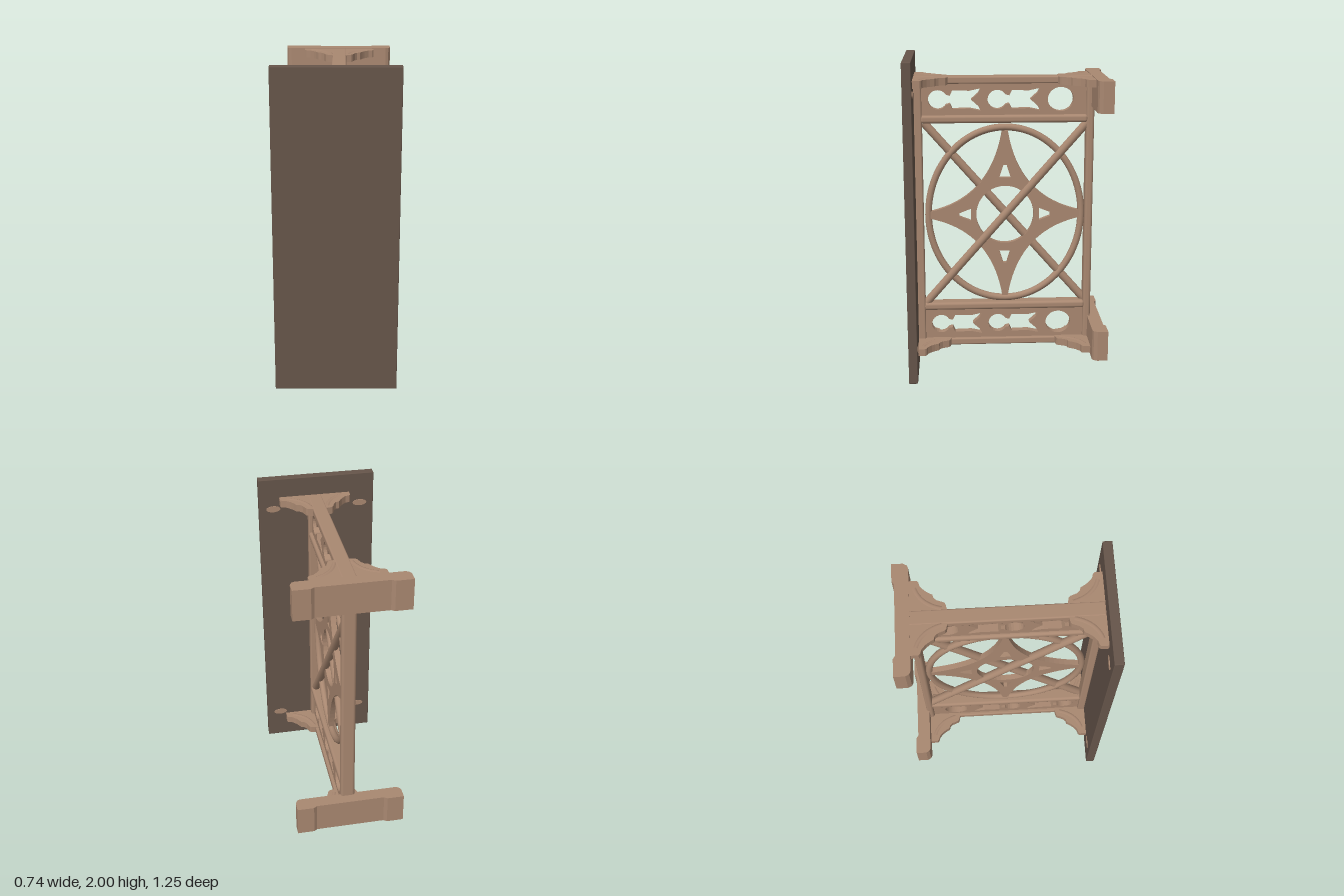
import * as THREE from 'three';
import { RoundedBoxGeometry } from 'three/addons/geometries/RoundedBoxGeometry.js';

export function createModel() {
  const model = new THREE.Group();
  const wood = new THREE.MeshStandardMaterial({ color: 0xa98871 });
  wood.name = 'lightWood';
  const darkWood = new THREE.MeshStandardMaterial({ color: 0x66554a });
  darkWood.name = 'darkWood';
  const CX = 0.015; // middle of the frame

  const add = (name, geometry, material = wood) => {
    const mesh = new THREE.Mesh(geometry, material);
    mesh.name = name;
    model.add(mesh);
    return mesh;
  };
  // Box given by its limits on each axis
  const block = (name, [x0, x1], [y0, y1], [z0, z1], material = wood, r = 0.01) => {
    const g = new RoundedBoxGeometry(x1 - x0, y1 - y0, z1 - z0, 2, r);
    add(name, g, material).position.set((x0 + x1) / 2, (y0 + y1) / 2, (z0 + z1) / 2);
  };
  // Shape drawn in (z, y), extruded along x around the frame's middle
  const sidePlate = (name, shape, depth) => {
    const g = new THREE.ExtrudeGeometry(shape, { depth, bevelEnabled: false, curveSegments: 20 });
    g.translate(0, 0, -depth / 2).rotateY(-Math.PI / 2);
    add(name, g).position.x = CX;
  };
  // Shape drawn in (x, z), extruded along y between two heights
  const levelPlate = (name, points, y0, y1) => {
    const g = new THREE.ExtrudeGeometry(new THREE.Shape(points), { depth: y1 - y0, bevelEnabled: false });
    g.rotateX(Math.PI / 2);
    add(name, g).position.y = y1;
  };
  const vec = ([x, y]) => new THREE.Vector2(x, y);

  // Slab
  block('tableTop', [-0.37, 0.37], [0, 2], [0.567, 0.623], darkWood, 0.004);

  // Frame posts and rails
  const wide = [-0.03, 0.06];
  block('frontPost', wide, [0.13, 1.88], [0.52, 0.57]);
  block('backPost', wide, [0.13, 1.88], [-0.55, -0.5], wood, 0.018);
  for (const [y0, y1] of [[1.835, 1.88], [0.13, 0.175]]) block('outerRail', wide, [y0, y1], [-0.55, 0.57]);
  for (const [y0, y1] of [[1.59, 1.64], [0.37, 0.42]]) block('innerRail', wide, [y0, y1], [-0.51, 0.53], wood, 0.018);

  // Pierced panels: two keyhole cuts with arrow tails, and one round cut
  const keyhole = (u, v) => {
    const pts = [];
    for (let i = 0; i <= 20; i++) {
      const a = -Math.PI + 0.55 + (i / 20) * (2 * Math.PI - 1.1);
      pts.push([u + 0.06 * Math.cos(a), v + 0.06 * Math.sin(a)]);
    }
    const tail = [[-0.075, 0.025], [-0.09, 0.058], [-0.195, 0.055], [-0.265, 0.07], [-0.25, 0.04]];
    tail.forEach(([a, b]) => pts.push([u + a, v + b]));
    pts.push([u - 0.205, v]);
    tail.reverse().forEach(([a, b]) => pts.push([u + a, v - b]));
    return new THREE.Path(pts.map(vec));
  };
  for (const y of [1.735, 0.272]) {
    const panel = new THREE.Shape([[-0.51, y - 0.1], [0.53, y - 0.1], [0.53, y + 0.1], [-0.51, y + 0.1]].map(vec));
    panel.holes.push(keyhole(0.42, y), keyhole(0.053, y));
    panel.holes.push(new THREE.Path().absellipse(-0.34, y, 0.08, 0.075, 0, Math.PI * 2));
    sidePlate('piercedPanel', panel, 0.05);
  }

  // Oval hoop
  const oval = [];
  for (let i = 0; i < 32; i++) {
    const a = (i / 32) * Math.PI * 2;
    oval.push(new THREE.Vector3(CX, 1 + 0.56 * Math.sin(a), 0.005 + 0.485 * Math.cos(a)));
  }
  add('ovalHoop', new THREE.TubeGeometry(new THREE.CatmullRomCurve3(oval, true), 96, 0.022, 10, true));

  // Crossed braces
  for (const s of [-1, 1]) {
    const x = CX + s * 0.012;
    const line = new THREE.LineCurve3(new THREE.Vector3(x, 1.59, -0.51 * s), new THREE.Vector3(x, 0.42, 0.51 * s));
    add('crossBrace', new THREE.TubeGeometry(line, 1, 0.026, 12, false));
  }

  // Four-pointed star with a round opening and a triangle in each point
  const star = new THREE.Shape();
  const turn = (k, x, y) => {
    const c = Math.round(Math.cos(k * Math.PI / 2)), s = Math.round(Math.sin(k * Math.PI / 2));
    const [u, v] = [x * c - y * s, x * s + y * c];
    return [u * 0.9 + 0.005, v + 1];
  };
  star.moveTo(...turn(0, 0.54, -0.02));
  for (let k = 0; k < 4; k++) {
    star.lineTo(...turn(k, 0.54, 0.02));
    star.quadraticCurveTo(...turn(k, 0.1, 0.1), ...turn(k, 0.02, 0.54));
    star.holes.push(new THREE.Path([[0.24, -0.04], [0.32, -0.012], [0.32, 0.012], [0.24, 0.04]].map((p) => vec(turn(k, ...p)))));
  }
  star.holes.push(new THREE.Path().absellipse(0.005, 1, 0.182, 0.187, 0, Math.PI * 2));
  sidePlate('starOrnament', star, 0.035);

  // Scalloped corner brackets: [distance from the middle, distance from the slab or foot]
  const scallop = [[0, 0], [0.225, 0], [0.225, 0.045], [0.215, 0.055], [0.19, 0.062], [0.165, 0.085], [0.15, 0.105],
    [0.135, 0.132], [0.115, 0.137], [0.1, 0.155], [0.085, 0.195], [0.075, 0.203], [0.045, 0.21], [0, 0.21]];
  for (const [y0, y1] of [[1.832, 1.878], [0.132, 0.178]]) {
    for (const [z, dir] of [[0.567, -1], [-0.53, 1]]) {
      for (const s of [-1, 1]) {
        levelPlate('cornerBracket', scallop.map(([x, d]) => new THREE.Vector2(CX + s * x, z + dir * d)), y0, y1);
        // Carved ridge along the bracket
        const ridge = new THREE.QuadraticBezierCurve3(
          new THREE.Vector3(CX + s * 0.18, (y0 + y1) / 2, z + dir * 0.03),
          new THREE.Vector3(CX + s * 0.08, (y0 + y1) / 2, z + dir * 0.06),
          new THREE.Vector3(CX + s * 0.05, (y0 + y1) / 2, z + dir * 0.18));
        add('bracketRidge', new THREE.TubeGeometry(ridge, 12, 0.028, 8, false));
      }
    }
  }

  // Feet with rounded shoulders and raised end pads
  const half = [[0.31, -0.53], [0.328, -0.538], [0.34, -0.56], [0.34, -0.626], [0.235, -0.626], [0.215, -0.612]];
  const foot = [...half, ...half.slice().reverse().map(([x, z]) => [-x, z])].map(([x, z]) => new THREE.Vector2(x + 0.01, z));
  for (const [y0, y1] of [[1.69, 1.882], [0.122, 0.316]]) levelPlate('foot', foot, y0, y1);

  // Small oval plugs on the inner face of the slab
  for (const x of [-0.28, 0.28]) for (const y of [0.2, 1.8]) {
    const plug = add('plug', new THREE.CylinderGeometry(0.045, 0.045, 0.006, 20).rotateX(Math.PI / 2));
    plug.scale.y = 0.45;
    plug.position.set(x, y, 0.565);
  }
  return model;
}
